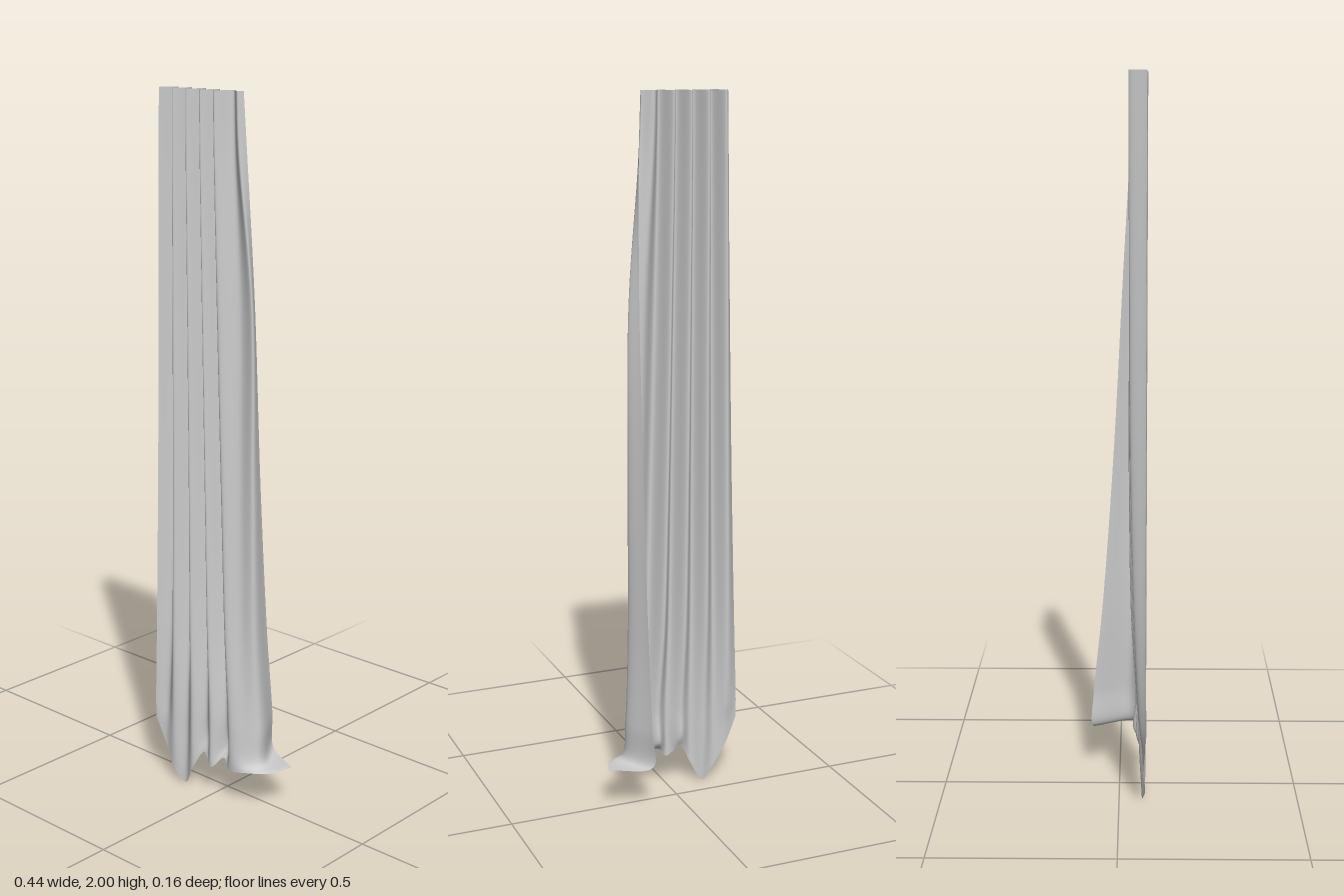
import * as THREE from 'three';

// One cross-section of the cloth: five even pleats from x = left to x = ridge, whose
// depth runs from deepL to deepR, then a fold and a side panel wrapping backwards.
function section(y, left, ridge, deepL, deepR, foldZ, panel, edge) {
  const points = [];
  for (let i = 0; i < 9; i++) {
    const t = i / 8;
    const depth = i % 2 ? THREE.MathUtils.lerp(deepL, deepR, t) : 0;
    points.push(new THREE.Vector3(left + (ridge - left) * t, y, 0.072 + 0.004 * t - depth));
  }
  points.push(new THREE.Vector3((ridge + panel[0]) / 2, y, foldZ));
  points.push(new THREE.Vector3(panel[0], y, panel[1]));
  points.push(new THREE.Vector3(edge[0], y, edge[1]));
  return points;
}

// Give every point of a cross-section its own height
function drape(points, heights) {
  points.forEach((p, i) => { p.y = heights[i]; });
  return points;
}

// From the rod down to the crumpled hem with its hanging lobe and flared corner
const SECTIONS = [
  section(2, -0.18, 0.02, 0.048, 0.05, 0.03, [0.078, 0.05], [0.088, 0.035]),
  section(1.85, -0.183, 0.022, 0.048, 0.05, 0.032, [0.085, 0.05], [0.095, 0.03]),
  section(1.45, -0.19, 0.032, 0.045, 0.05, 0.035, [0.123, 0.04], [0.105, 0.008]),
  section(0.95, -0.2, 0.046, 0.04, 0.052, 0.045, [0.13, 0.04], [0.105, -0.018]),
  section(0.5, -0.212, 0.06, 0.028, 0.046, 0.052, [0.135, 0.035], [0.105, -0.05]),
  section(0.24, -0.22, 0.075, 0.014, 0.032, 0.06, [0.148, 0.025], [0.105, -0.076]),
  drape(section(0, -0.22, 0.075, 0.004, 0.04, 0.068, [0.157, 0.03], [0.105, -0.08]),
    [0.2, 0.17, 0.15, 0.14, 0.145, 0.155, 0.13, 0.15, 0.14, 0.14, 0.135, 0.135]),
  drape(section(0, -0.22, 0.075, 0.003, 0.02, 0.073, [0.19, 0.04], [0.221, -0.028]),
    [0.18, 0.1, 0.035, 0, 0.06, 0.12, 0.09, 0.125, 0.105, 0.115, 0.12, 0.125]),
];
const COLS = 110, ROWS = 90;

// Smooth grid through the cross-sections
function clothGeometry() {
  const rows = SECTIONS.map((points) => new THREE.CatmullRomCurve3(points).getPoints(COLS));
  const columns = rows[0].map((_, i) =>
    new THREE.CatmullRomCurve3(rows.map((row) => row[i])).getPoints(ROWS));

  const geometry = new THREE.PlaneGeometry(1, 1, COLS, ROWS);
  const pos = geometry.attributes.position;
  for (let j = 0; j <= ROWS; j++) {
    for (let i = 0; i <= COLS; i++) {
      const p = columns[i][j];
      pos.setXYZ(j * (COLS + 1) + i, p.x, Math.max(0, p.y), p.z);
    }
  }
  geometry.computeVertexNormals();
  return geometry;
}

export function createModel() {
  const fabric = new THREE.MeshStandardMaterial({ color: 0xcccccc, side: THREE.DoubleSide });
  fabric.name = 'grey fabric';

  const group = new THREE.Group();
  group.name = 'curtain';
  const cloth = new THREE.Mesh(clothGeometry(), fabric);
  cloth.name = 'pleatedCloth';
  group.add(cloth);
  return group;
}
